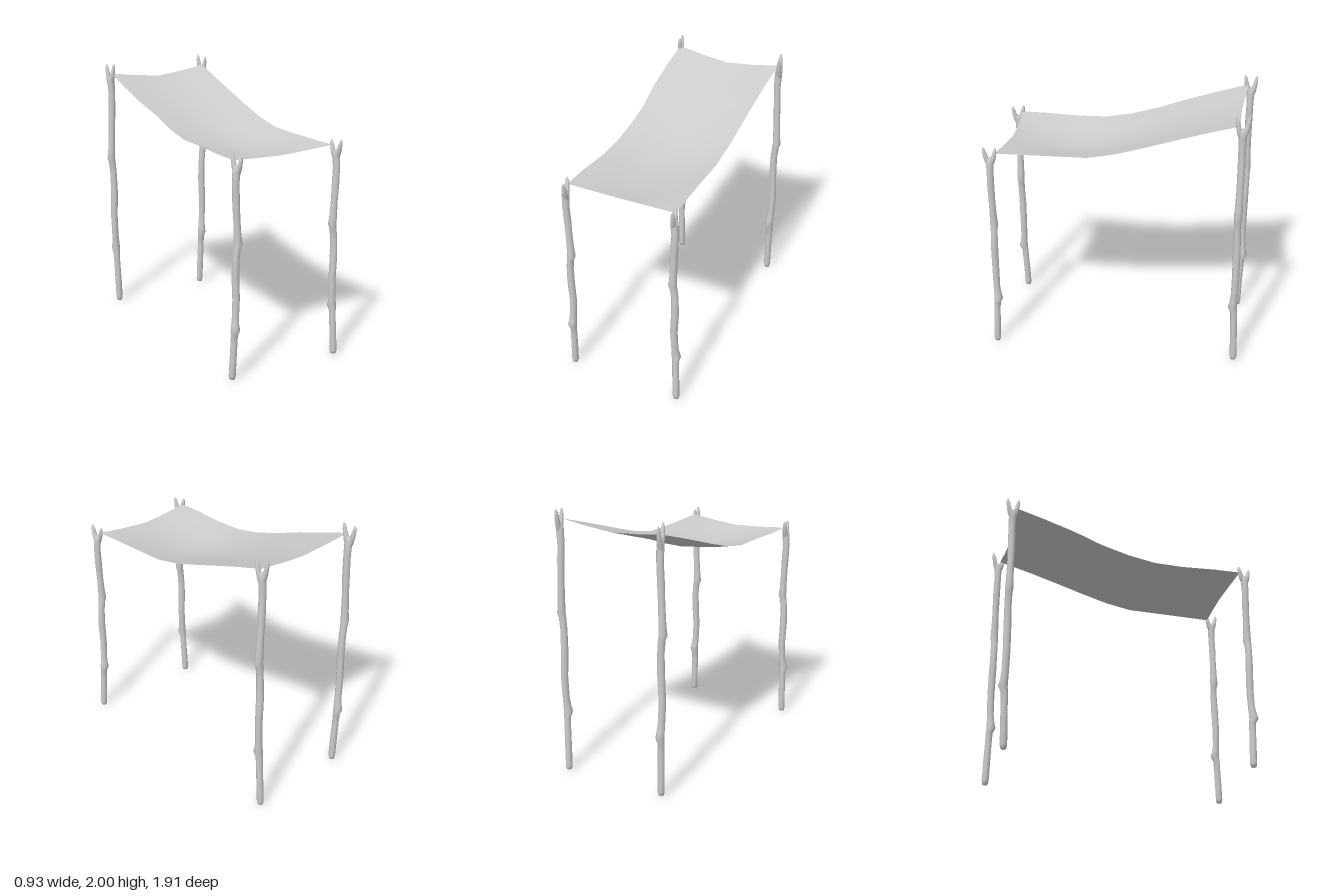
import * as THREE from 'three';
import { mergeVertices } from 'three/addons/utils/BufferGeometryUtils.js';

const grey = new THREE.MeshStandardMaterial({ color: 0xcccccc, side: THREE.DoubleSide });
grey.name = 'plain grey';

// Trunk stations from foot to fork: x, height fraction, z, radius
const TRUNK = [
  [0.02, 0, 0.014, 0.004], [0.02, 0.004, 0.014, 0.02], [0.02, 0.018, 0.014, 0.026],
  [0.017, 0.08, 0.011, 0.026], [0.012, 0.17, 0.005, 0.025], [0.011, 0.21, 0.002, 0.026],
  [0.011, 0.232, -0.01, 0.034], [0.009, 0.255, -0.004, 0.029], [0.004, 0.29, 0.001, 0.026],
  [-0.002, 0.37, 0.003, 0.027], [0.006, 0.47, 0.001, 0.028], [0.004, 0.55, -0.002, 0.026],
  [-0.004, 0.595, -0.002, 0.027], [-0.013, 0.615, -0.001, 0.031], [-0.008, 0.65, 0, 0.028],
  [-0.003, 0.72, 0.001, 0.025], [0.003, 0.8, 0.002, 0.027], [0.008, 0.87, 0, 0.026],
  [0.004, 0.92, 0, 0.028], [0.002, 0.945, 0, 0.026], [0.002, 0.952, 0, 0.002],
];
// Fork prong stations
const PRONG = [
  [0.003, 0.915, 0.006, 0.018], [0.004, 0.935, 0.018, 0.02], [0.006, 0.955, 0.028, 0.018],
  [0.008, 0.975, 0.036, 0.015], [0.009, 0.99, 0.041, 0.01], [0.009, 1, 0.042, 0.001],
];

// Round branch whose rings follow the given stations
function branch(stations, height, side = 1) {
  const rows = stations.length - 1;
  const geo = new THREE.CylinderGeometry(1, 1, 1, 10, rows, true);
  const p = geo.attributes.position;
  for (let i = 0; i < p.count; i++) {
    const [x, h, z, r] = stations[Math.round((p.getY(i) + 0.5) * rows)];
    p.setXYZ(i, x * side + p.getX(i) * r, h * height, z * side + p.getZ(i) * r);
  }
  geo.deleteAttribute('uv');
  geo.deleteAttribute('normal');
  const smooth = mergeVertices(geo, 1e-5);
  smooth.computeVertexNormals();
  return smooth;
}

function pole(name, height) {
  const group = new THREE.Group();
  group.name = name;
  const add = (part, geo) => {
    const mesh = new THREE.Mesh(geo, grey);
    mesh.name = part;
    group.add(mesh);
  };
  add('trunk', branch(TRUNK, height));
  add('forkProngA', branch(PRONG, height));
  add('forkProngB', branch(PRONG, height * 0.995, -1));
  return group;
}

// Cloth cross-sections: z, left edge x, right edge x, edge height, middle height
const ROWS = [
  [-0.885, -0.43, 0.413, 1.92, 1.87], [-0.65, -0.434, 0.398, 1.845, 1.8],
  [-0.42, -0.43, 0.394, 1.77, 1.725], [-0.21, -0.406, 0.392, 1.7, 1.645],
  [0, -0.41, 0.391, 1.635, 1.575], [0.2, -0.412, 0.392, 1.595, 1.525],
  [0.42, -0.408, 0.393, 1.59, 1.505], [0.68, -0.428, 0.402, 1.588, 1.525],
  [0.875, -0.428, 0.413, 1.588, 1.56],
];

function cloth() {
  const cols = 4, rows = ROWS.length - 1;
  const geo = new THREE.PlaneGeometry(1, 1, cols, rows);
  const p = geo.attributes.position;
  const sag = [0, 0.6, 1, 0.6, 0];
  for (let r = 0; r <= rows; r++) {
    const [z, x0, x1, edge, mid] = ROWS[r];
    // both end hems curve inwards between the ties
    const hem = r === 0 ? 0.022 : r === rows ? -0.033 : 0;
    for (let c = 0; c <= cols; c++) {
      p.setXYZ(r * (cols + 1) + c, THREE.MathUtils.lerp(x0, x1, c / cols),
        THREE.MathUtils.lerp(edge, mid, sag[c]), z + hem * sag[c]);
    }
  }
  geo.computeVertexNormals();
  const mesh = new THREE.Mesh(geo, grey);
  mesh.name = 'clothCanopy';
  return mesh;
}

export function createModel() {
  const model = new THREE.Group();
  model.name = 'canopy';
  // Same branch at each corner, alternately turned half round
  const corners = [
    ['frontLeftPole', 0.415, 0.91, 1.64, 0], ['frontRightPole', -0.422, 0.91, 1.64, Math.PI],
    ['backLeftPole', 0.415, -0.9, 2, Math.PI], ['backRightPole', -0.43, -0.9, 2, 0],
  ];
  for (const [name, x, z, height, turn] of corners) {
    const post = pole(name, height);
    post.position.set(x, 0, z);
    post.rotation.y = turn;
    model.add(post);
  }
  model.add(cloth());
  return model;
}
